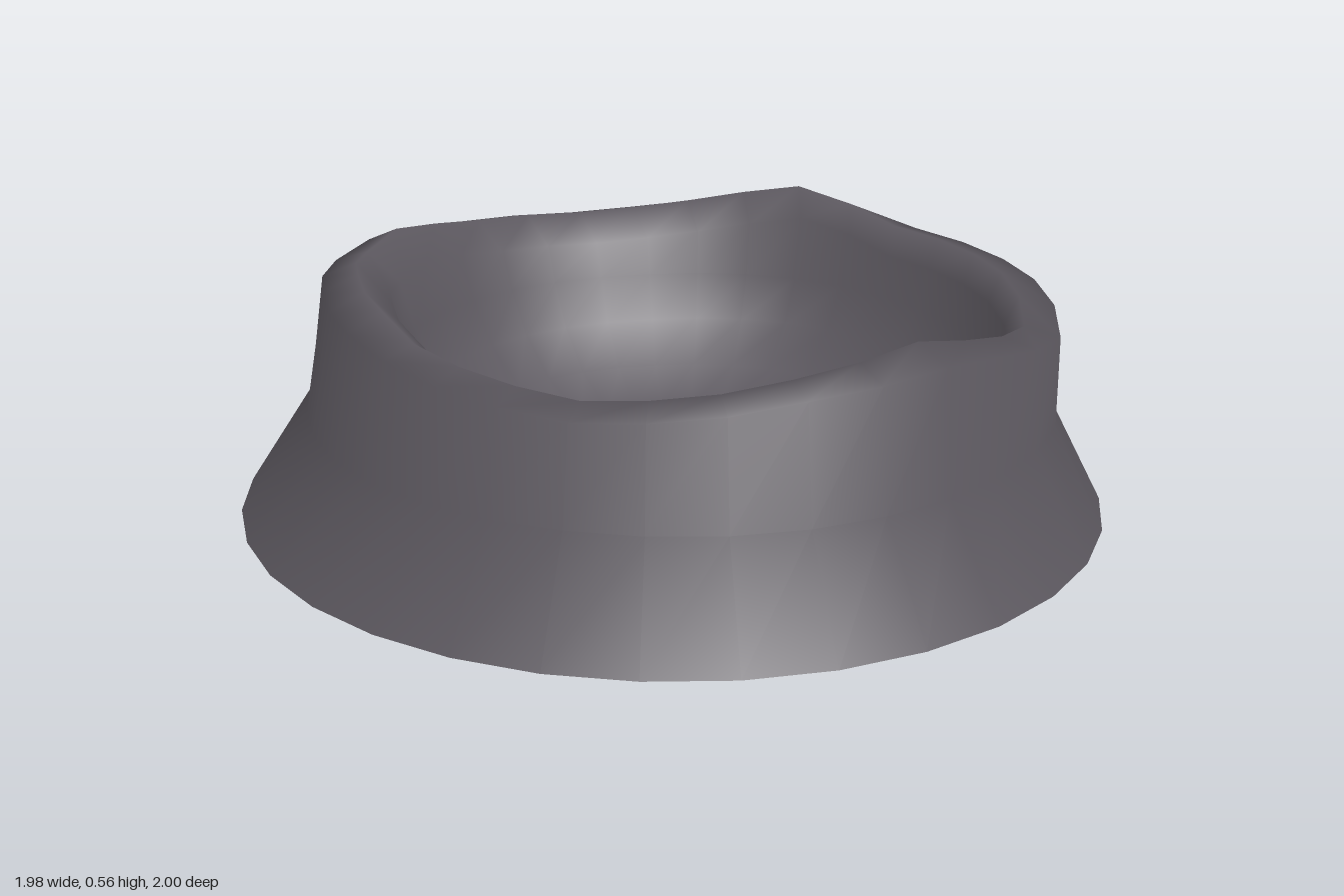
import * as THREE from 'three';

const SIDES = 32;

// Values round the rim: [degrees from +x towards +z, value]
const RIM_RADIUS = [[0, 0.82], [32, 0.85], [57, 0.88], [80, 0.84], [115, 0.815], [147, 0.79], [180, 0.79],
  [212, 0.78], [236, 0.82], [270, 0.81], [303, 0.79], [344, 0.83], [360, 0.82]];
const RIM_HEIGHT = [[0, 0.505], [25, 0.5], [40, 0.495], [57, 0.462], [70, 0.49], [90, 0.545], [115, 0.505],
  [125, 0.485], [145, 0.46], [165, 0.485], [180, 0.51], [193, 0.55], [217, 0.55], [235, 0.52], [249, 0.545],
  [260, 0.52], [270, 0.505], [294, 0.49], [312, 0.505], [338, 0.563], [360, 0.505]];

function sample(table, deg) {
  const k = table.findIndex((p, i) => i > 0 && deg <= p[0]);
  const [a, va] = table[k - 1], [b, vb] = table[k];
  return THREE.MathUtils.lerp(va, vb, (deg - a) / (b - a));
}

// Cross-section [radius, height] at one angle, from the foot over the rim to the floor
function section(deg) {
  const r = sample(RIM_RADIUS, deg), h = sample(RIM_HEIGHT, deg);
  const c = Math.cos(THREE.MathUtils.degToRad(deg));
  return [
    [1 - 0.012 * c * c, 0],
    [0.845 + 0.5 * (r - 0.81), 0.235],
    [r, Math.min(h - 0.02, 0.485 + 0.5 * (h - 0.5))],
    [r - 0.08, h],
    [r * 0.84, h - 0.07],
    [r * 0.8, 0.34],
    [r * 0.73, 0.235],
    [r * 0.62, 0.14],
    [r * 0.46, 0.075],
    [r * 0.25, 0.04],
  ];
}

function ringedSurface() {
  const sections = Array.from({ length: SIDES }, (_, j) => section((j * 360) / SIDES));
  const rings = sections[0].length;
  const pos = [], idx = [];
  for (let i = 0; i < rings; i++) {
    const inside = i > 3 ? 1 : 0; // the hollow sits slightly off centre
    for (let j = 0; j < SIDES; j++) {
      const t = (j * Math.PI * 2) / SIDES;
      const [r, y] = sections[j][i];
      pos.push(r * Math.cos(t) + 0.02 * inside, y, r * Math.sin(t) + 0.02 * inside);
    }
  }
  const centre = rings * SIDES;
  pos.push(0.02, 0.03, 0.02);
  for (let j = 0; j < SIDES; j++) {
    const n = (j + 1) % SIDES;
    for (let i = 0; i < rings - 1; i++) {
      const a = i * SIDES + j, b = i * SIDES + n, c = a + SIDES, d = b + SIDES;
      idx.push(a, c, b, b, c, d);
    }
    idx.push((rings - 1) * SIDES + j, centre, (rings - 1) * SIDES + n);
  }
  const geo = new THREE.BufferGeometry();
  geo.setAttribute('position', new THREE.Float32BufferAttribute(pos, 3));
  geo.setIndex(idx);
  geo.computeVertexNormals();
  return geo;
}

export function createModel() {
  const stone = new THREE.MeshStandardMaterial({ color: 0x5b575e, side: THREE.DoubleSide });
  stone.name = 'dark grey stone';

  // Flared foot, wall, uneven rim and sunken bowl as one open-bottomed shell
  const bowl = new THREE.Mesh(ringedSurface(), stone);
  bowl.name = 'bowl';

  const model = new THREE.Group();
  model.name = 'unevenBowl';
  model.add(bowl);
  return model;
}
